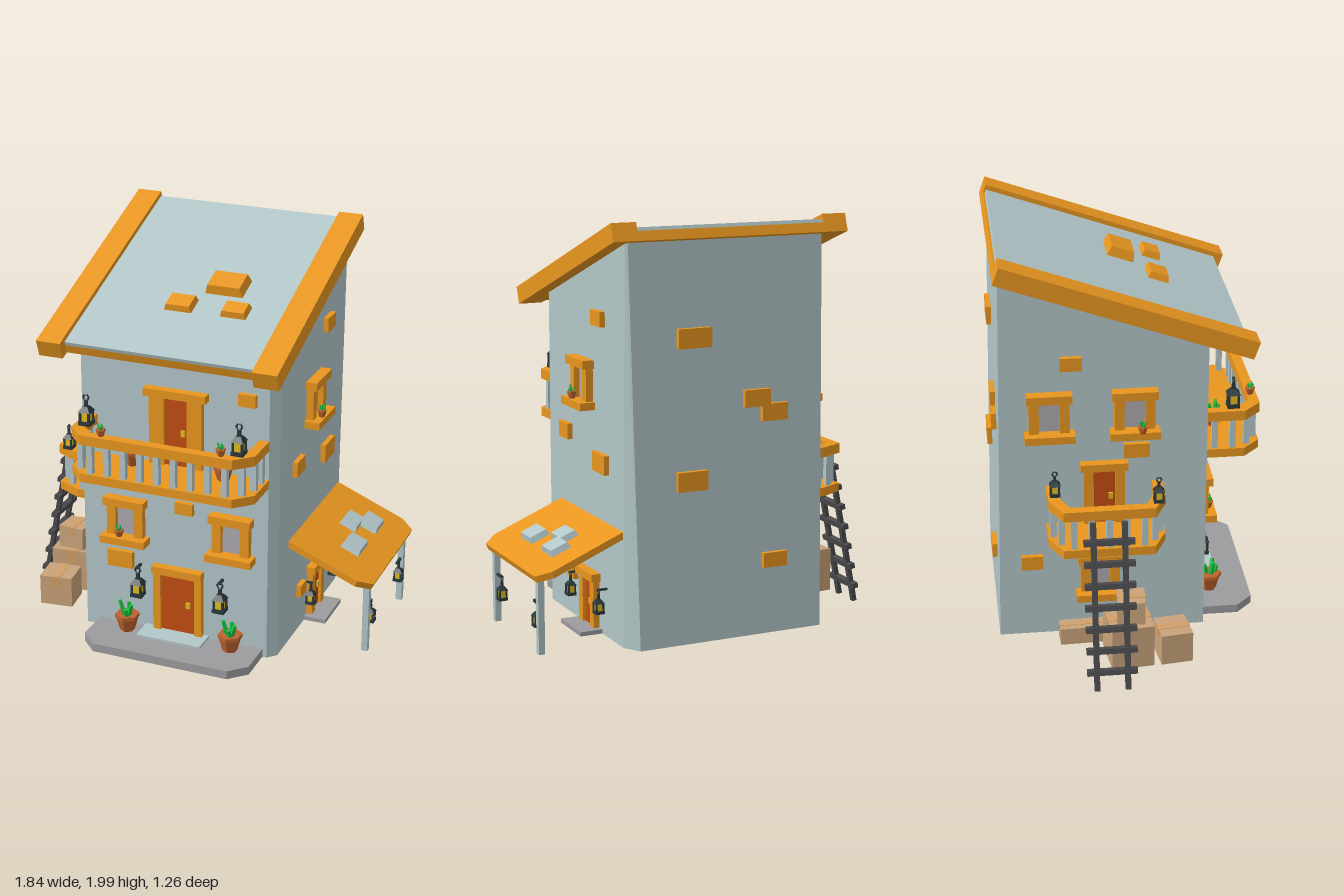
import * as THREE from 'three';

const mats = {};
const mat = (c) => (mats[c] ??= new THREE.MeshStandardMaterial({ color: c, flatShading: true }));
const ORANGE = 0xe8961f, WALL = 0xb2c6c8, RED = 0xc24c10, STONE = 0x9c9a9e, DARK = 0x2a383c, GLOW = 0xe2bc20,
  POT = 0xbd622c, LEAF = 0x1cc444, CARD = 0xc9a37a, TAPE = 0xd2a068, WOOD = 0x4a4a4d, PANE = 0xacaaae;

function add(parent, name, color, geo, x = 0, y = 0, z = 0) {
  const m = new THREE.Mesh(geo, mat(color));
  m.name = name;
  m.position.set(x, y, z);
  parent.add(m);
  return m;
}
function group(parent, name, x = 0, y = 0, z = 0, ry = 0) {
  const g = new THREE.Group();
  g.name = name;
  g.position.set(x, y, z);
  g.rotation.y = ry;
  parent.add(g);
  return g;
}
// Box with x = centre, y = bottom, z = back face
const box = (p, name, c, [w, h, d], [x, y, z]) =>
  add(p, name, c, new THREE.BoxGeometry(w, h, d), x, y + h / 2, z + d / 2);

// Horizontal slab from (x, z) outline points, standing on y = 0
function slab(points, h) {
  const s = new THREE.Shape(points.map(([x, z]) => new THREE.Vector2(x, z)));
  const geo = new THREE.ExtrudeGeometry(s, { depth: h, bevelEnabled: false });
  return geo.rotateX(Math.PI / 2).translate(0, h, 0);
}
// Outline against a wall with its two outer corners cut off
const cutCorners = (w, d, cx, cz = cx) => [[-w / 2, 0], [w / 2, 0], [w / 2, d - cz], [w / 2 - cx, d], [-w / 2 + cx, d], [-w / 2, d - cz]];

// Flat tile or brick, narrower on top
function tile(p, name, c, w, d, h, x, y, z) {
  const geo = new THREE.BoxGeometry(w, h, d), a = geo.attributes.position;
  for (let i = 0; i < a.count; i++)
    if (a.getY(i) > 0) a.setXYZ(i, a.getX(i) * 0.86, h / 2, a.getZ(i) * 0.86);
  geo.computeVertexNormals();
  return add(p, name, c, geo, x, y + h / 2, z);
}
const bricks = (wall, list) => list.forEach(([x, y, w, h]) => box(wall, 'brick', ORANGE, [w, h, 0.045], [x, y - h / 2, -0.02]));

function lantern(p, x, y, z, s = 1, hung = false) {
  const g = group(p, 'lantern', x, y, z);
  g.scale.setScalar(s);
  box(g, 'lanternBase', DARK, [0.056, 0.018, 0.056], [0, 0, -0.028]);
  box(g, 'lanternGlass', GLOW, [0.038, 0.045, 0.038], [0, 0.018, -0.019]);
  for (const sx of [-1, 1]) for (const sz of [-1, 1])
    box(g, 'lanternBar', DARK, [0.01, 0.045, 0.01], [sx * 0.021, 0.018, sz * 0.021 - 0.005]);
  const cap = new THREE.CylinderGeometry(0.018, 0.042, 0.025, 4).rotateY(Math.PI / 4);
  add(g, 'lanternCap', DARK, cap, 0, 0.0755, 0);
  box(g, 'lanternNeck', DARK, [0.014, 0.03, 0.014], [0, 0.085, -0.007]);
  add(g, 'lanternRing', DARK, new THREE.TorusGeometry(0.014, 0.005, 4, 6), 0, 0.13, 0);
  if (hung) box(g, 'lanternBracket', DARK, [0.012, 0.012, 0.07], [0, 0.138, -0.06]);
}

function plant(p, x, y, z, s = 1) {
  const g = group(p, 'pottedPlant', x, y, z);
  g.scale.setScalar(s);
  add(g, 'pot', POT, new THREE.CylinderGeometry(0.055, 0.036, 0.068, 6), 0, 0.034, 0);
  add(g, 'potRim', POT, new THREE.CylinderGeometry(0.06, 0.06, 0.018, 6), 0, 0.077, 0);
  [[-0.02, 0.01, 0.25], [0.02, 0.015, -0.3], [0, -0.02, 0.05], [0.008, 0.03, 0.1]].forEach(([lx, lz, tilt], i) => {
    const leaf = add(g, 'leaf', LEAF, new THREE.CylinderGeometry(0.01, 0.014, 0.09 - i * 0.012, 4), lx, 0.115 - i * 0.006, lz);
    leaf.rotation.z = tilt;
    leaf.rotation.x = lz * 8;
  });
}

function windowFrame(wall, x, y) {
  const g = group(wall, 'window', x, y, 0);
  box(g, 'windowPane', PANE, [0.13, 0.16, 0.008], [0, 0.035, 0]);
  box(g, 'windowSill', ORANGE, [0.23, 0.036, 0.08], [0, 0, -0.005]);
  box(g, 'windowHead', ORANGE, [0.21, 0.04, 0.06], [0, 0.19, -0.005]);
  for (const s of [-1, 1]) box(g, 'windowPost', ORANGE, [0.045, 0.155, 0.04], [s * 0.07, 0.035, -0.005]);
}

function door(wall, x, y, w, h, post, lintel) {
  const g = group(wall, 'door', x, y, 0);
  box(g, 'doorPanel', RED, [w, h, 0.015], [0, 0, 0]);
  box(g, 'doorHandle', GLOW, [0.022, 0.03, 0.012], [w * 0.3, h * 0.45, 0.012]);
  for (const s of [-1, 1]) box(g, 'doorPost', ORANGE, [post, h, 0.035], [s * (w + post) / 2, 0, -0.005]);
  box(g, 'doorLintel', ORANGE, [lintel, 0.038, 0.05], [0, h, -0.005]);
}

function balcony(wall, x, y, w, d, h, cx, cz, n) {
  const g = group(wall, 'balcony', x, y, 0);
  add(g, 'balconyFloor', ORANGE, slab(cutCorners(w, d, cx, cz), 0.042));
  const outer = cutCorners(w, d, cx, cz), t = 0.048;
  const inner = cutCorners(w - 2 * t, d - t, cx - 0.015, cz - 0.015);
  // Handrail: outer outline one way round, inner outline back
  const rail = [...outer.slice(1), outer[0], inner[0], ...inner.slice(2).reverse(), inner[1]];
  add(g, 'handrail', ORANGE, slab(rail, 0.048), 0, h - 0.048, 0);
  const path = new THREE.CurvePath(), mid = cutCorners(w - t, d - t / 2, cx - 0.008, cz - 0.008).map(([a, b]) => new THREE.Vector3(a, 0, b));
  [1, 2, 3, 4].forEach((i) => path.add(new THREE.LineCurve3(mid[i], mid[i + 1])));
  path.add(new THREE.LineCurve3(mid[5], mid[0]));
  for (let i = 0; i < n; i++) {
    const q = path.getPointAt((i + 0.5) / n);
    box(g, 'baluster', WALL, [0.028, h - 0.085, 0.028], [q.x, 0.04, q.z - 0.014]);
  }
}

function carton(p, w, h, d, x, y, z, ry) {
  const g = group(p, 'carton', x, y, z, ry);
  box(g, 'cartonBody', CARD, [w, h, d], [0, 0, -d / 2]);
  box(g, 'cartonTape', TAPE, [w * 0.25, h * 0.35, d + 0.004], [0, h * 0.65 + 0.002, -d / 2 - 0.002]);
}

export function createModel() {
  const house = new THREE.Group();
  house.name = 'house';

  // Walls: corner-cut prism whose top follows the roof and whose back leans in slightly
  const body = slab([[-0.47, 0.37], [0.47, 0.37], [0.51, 0.33], [0.51, -0.53], [0.46, -0.61], [-0.47, -0.61]], 1);
  const a = body.attributes.position;
  for (let i = 0; i < a.count; i++) {
    if (a.getY(i) < 0.5) { a.setY(i, 0.06); continue; }
    let x = a.getX(i), z = a.getZ(i);
    if (z < -0.5) z = z < -0.6 ? -0.575 : -0.565;
    if (Math.abs(x - 0.46) < 0.005) x = 0.5;
    a.setXYZ(i, x, 1.735 - 0.355 * z, z);
  }
  body.computeVertexNormals();
  add(house, 'walls', WALL, body);

  // Sloping roof
  const roof = group(house, 'roof', 0, 1.795, 0.0025);
  roof.rotation.x = Math.atan2(0.41, 1.155);
  for (const s of [-1, 1]) box(roof, 'roofEdge', ORANGE, [0.12, 0.085, 1.226], [s * 0.525 - 0.006, -0.085, -0.613]);
  box(roof, 'roofUnderside', ORANGE, [0.94, 0.045, 1.18], [-0.006, -0.085, -0.613]);
  box(roof, 'roofPanel', WALL, [0.94, 0.018, 1.175], [-0.006, -0.04, -0.605]);
  tile(roof, 'roofTile', ORANGE, 0.185, 0.13, 0.045, 0.13, -0.022, 0.03);
  tile(roof, 'roofTile', ORANGE, 0.135, 0.1, 0.03, -0.04, -0.022, 0.2);
  tile(roof, 'roofTile', ORANGE, 0.125, 0.09, 0.03, 0.23, -0.022, 0.2);

  // Front
  const front = group(house, 'frontSide', 0, 0, 0.37);
  add(front, 'porch', STONE, slab(cutCorners(0.85, 0.26, 0.08), 0.042), 0.025, 0.06, 0);
  box(front, 'doorStep', WALL, [0.33, 0.015, 0.12], [0.01, 0.1, 0]);
  door(front, 0.022, 0.115, 0.175, 0.303, 0.038, 0.255);
  door(front, 0.018, 0.99, 0.115, 0.34, 0.075, 0.31);
  windowFrame(front, -0.245, 0.55);
  windowFrame(front, 0.295, 0.55);
  balcony(front, 0.015, 0.945, 0.91, 0.26, 0.235, 0.08, 0.08, 15);
  bricks(front, [[-0.278, 0.452, 0.13, 0.085], [0.055, 0.775, 0.09, 0.06], [0.368, 1.37, 0.085, 0.06]]);
  for (const x of [-0.18, 0.245]) lantern(front, x, 0.28, 0.035, 1.05, true);
  lantern(front, -0.385, 1.18, 0.13, 1.03);
  lantern(front, 0.395, 1.18, 0.185, 1.03);
  plant(front, -0.225, 0.102, 0.065);
  plant(front, 0.31, 0.102, 0.065);
  plant(front, -0.18, 0.987, 0.07, 0.8);
  plant(front, 0.275, 0.987, 0.07, 0.8);
  plant(front, -0.27, 0.586, 0.045, 0.4);
  plant(front, -0.265, 1.18, 0.23, 0.4);
  plant(front, 0.325, 1.18, 0.23, 0.4);

  // Left side with lean-to awning
  const left = group(house, 'leftSide', 0.51, 0, 0, Math.PI / 2);
  windowFrame(left, 0.108, 1.11);
  plant(left, 0.08, 1.146, 0.055, 0.4);
  door(left, 0.17, 0.08, 0.085, 0.225, 0.045, 0.2);
  box(left, 'sideStep', STONE, [0.24, 0.02, 0.11], [0.17, 0.06, 0]);
  bricks(left, [[0.288, 1.545, 0.11, 0.07], [-0.105, 0.96, 0.11, 0.075], [0.31, 0.88, 0.14, 0.09], [-0.035, 0.28, 0.075, 0.06]]);
  lantern(left, 0.015, 0.18, 0.045, 0.78, true);
  lantern(left, 0.35, 0.18, 0.045, 0.78, true);
  lantern(left, -0.045, 0.18, 0.37, 0.78);
  lantern(left, 0.41, 0.18, 0.37, 0.78);
  for (const [x, s] of [[-0.115, 1], [0.445, -1]]) {
    box(left, 'awningPost', WALL, [0.03, 0.385, 0.03], [x, 0.06, 0.355]);
    box(left, 'lanternHook', DARK, [0.08, 0.012, 0.012], [x + s * 0.035, 0.286, 0.364]);
  }
  const awning = group(left, 'awning', 0.167, 0.605, 0);
  awning.rotation.x = Math.atan2(0.17, 0.41);
  add(awning, 'awningRoof', ORANGE, slab(cutCorners(0.73, 0.444, 0.05, 0.07), 0.032), 0, -0.032, 0);
  for (const [x, z, w, d] of [[0.16, 0.26, 0.13, 0.1], [0.08, 0.18, 0.13, 0.09], [-0.1, 0.26, 0.14, 0.1]])
    tile(awning, 'awningTile', WALL, w, d, 0.028, x, 0, z);

  // Right side
  const right = group(house, 'rightSide', -0.47, 0, 0, -Math.PI / 2);
  windowFrame(right, -0.36, 1.11);
  windowFrame(right, 0.03, 1.11);
  windowFrame(right, -0.13, 0.26);
  plant(right, 0.06, 1.146, 0.075, 0.4);
  door(right, -0.11, 0.66, 0.1, 0.28, 0.045, 0.22);
  balcony(right, -0.11, 0.62, 0.54, 0.265, 0.24, 0.06, 0.12, 11);
  lantern(right, 0.12, 0.86, 0.2, 0.85);
  lantern(right, -0.345, 0.86, 0.095, 0.85);
  bricks(right, [[-0.26, 1.48, 0.1, 0.065], [-0.45, 0.46, 0.1, 0.07], [0.04, 1.03, 0.12, 0.07]]);

  // Back
  const back = group(house, 'backSide', 0, 0, -0.592, Math.PI);
  back.rotation.x = 0;
  bricks(back, [[-0.185, 1.475, 0.165, 0.09], [0.13, 1.18, 0.13, 0.08], [0.22, 1.11, 0.13, 0.08], [-0.2, 0.825, 0.15, 0.09], [0.22, 0.415, 0.12, 0.07]]);
  back.children.forEach((b) => { b.position.z += 0.018 - 0.019 * b.position.y; });

  // Ladder leaning on the right balcony
  const ladder = group(house, 'ladder', -0.83, 0.41, -0.117);
  ladder.rotation.z = -Math.atan2(0.16, 0.8);
  for (const s of [-1, 1]) box(ladder, 'ladderRail', WOOD, [0.022, 0.815, 0.026], [0, -0.4075, s * 0.072 - 0.013]);
  for (let i = 0; i < 7; i++) box(ladder, 'ladderRung', WOOD, [0.03, 0.026, 0.235], [0, -0.33 + i * 0.105, -0.1175]);

  // Stacked cartons
  carton(house, 0.22, 0.215, 0.2, -0.7, 0.055, -0.02, 0.1);
  carton(house, 0.165, 0.155, 0.15, -0.705, 0.052, 0.19, 0.12);
  carton(house, 0.135, 0.115, 0.13, -0.705, 0.27, -0.01, -0.08);
  carton(house, 0.085, 0.085, 0.34, -0.535, 0.055, -0.16, 0.03);
  return house;
}
